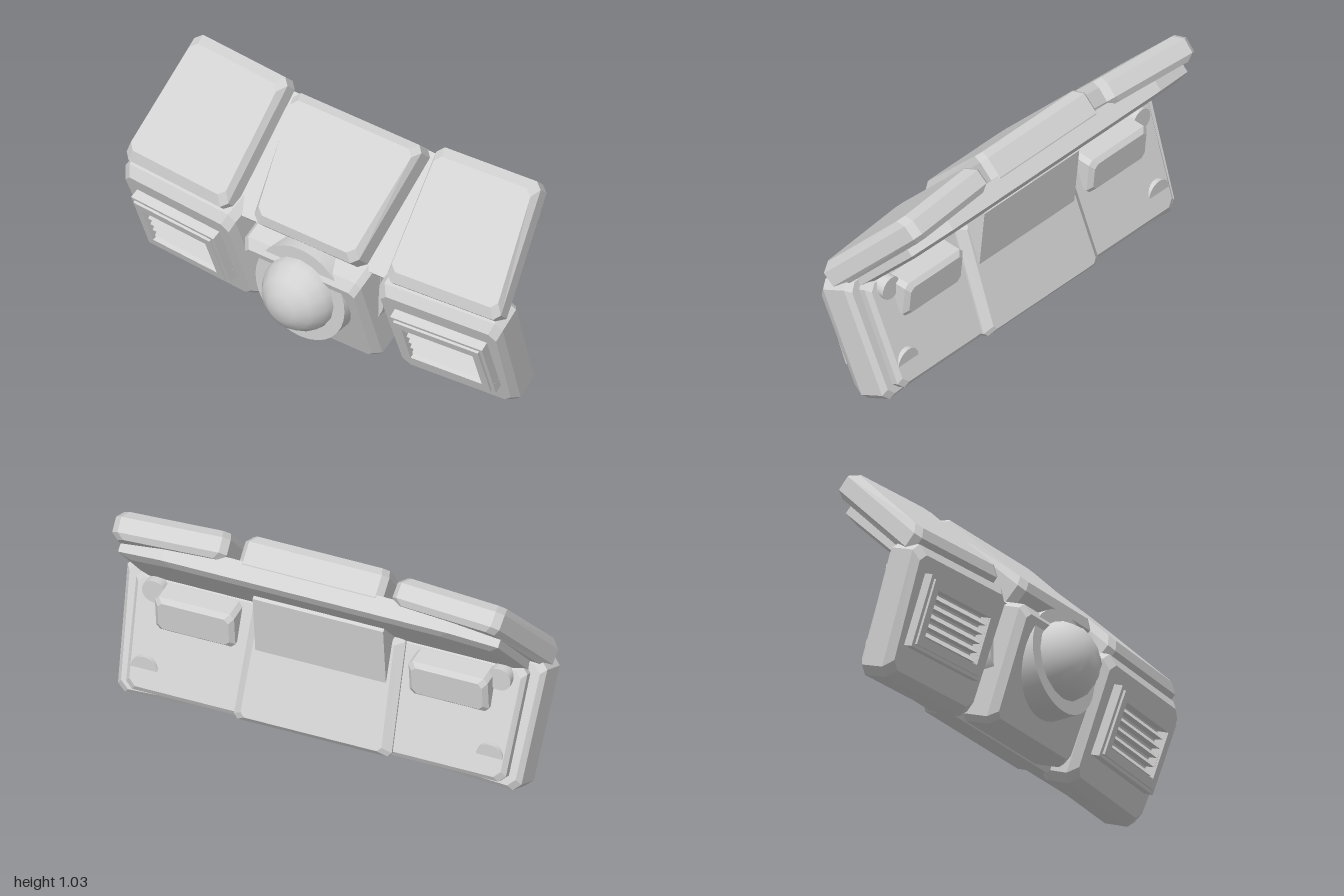
import * as THREE from 'three';

const LID = -Math.PI / 4, BODY = 0.365, YAW = 0.078;
const grey = new THREE.MeshStandardMaterial({ color: 0xd2d2d2 });
grey.name = 'plain grey';

function add(parent, name, geometry, x = 0, y = 0, z = 0) {
  const mesh = new THREE.Mesh(geometry, grey);
  mesh.name = name;
  mesh.position.set(x, y, z);
  parent.add(mesh);
  return mesh;
}

// Four-sided slab with cut corners; layers of [z, insetX, insetY] run from back to front.
function slab(topHalf, bottomHalf, halfHeight, cut, layers, cutX = cut) {
  const [tl, tr] = topHalf, [bl, br] = bottomHalf;
  const corners = [[bl, -halfHeight], [br, -halfHeight], [tr, halfHeight], [tl, halfHeight]]
    .map(c => new THREE.Vector2(...c));
  const outline = [];
  corners.forEach((c, i) => {
    for (const k of [3, 1]) {
      const d = corners[(i + k) % 4].clone().sub(c);
      d.setLength(d.y === 0 ? cutX : cut);
      outline.push(c.clone().add(d));
    }
  });
  const loops = layers.map(([z, ix, iy = ix]) => outline.map(p =>
    [p.x - Math.sign(p.x) * ix, p.y - Math.sign(p.y) * iy, z]));
  const v = [], n = outline.length;
  for (let l = 0; l + 1 < loops.length; l++) {
    const a = loops[l], b = loops[l + 1];
    for (let i = 0; i < n; i++) {
      const j = (i + 1) % n;
      v.push(...a[i], ...a[j], ...b[j], ...a[i], ...b[j], ...b[i]);
    }
  }
  const back = loops[0], front = loops[loops.length - 1];
  for (let i = 1; i + 1 < n; i++) {
    v.push(...back[0], ...back[i + 1], ...back[i], ...front[0], ...front[i], ...front[i + 1]);
  }
  const g = new THREE.BufferGeometry();
  g.setAttribute('position', new THREE.Float32BufferAttribute(v, 3));
  g.computeVertexNormals();
  return g;
}

// Group pitched about x, then turned outward.
function tilted(parent, name, pitch, along, out, x = 0, yaw = 0) {
  const g = new THREE.Group();
  g.name = name;
  g.rotation.set(pitch, yaw, 0, 'YXZ');
  g.position.set(x, along * Math.cos(pitch) - out * Math.sin(pitch),
    along * Math.sin(pitch) + out * Math.cos(pitch));
  parent.add(g);
  return g;
}

// Extent pair from inner to outer, mirrored for side s.
const span = (s, inner, outer) => s > 0 ? [inner, outer] : [-outer, -inner];

function discGeometry(radius, depth, sides = 32) {
  return new THREE.CylinderGeometry(radius, radius, depth, sides).rotateX(Math.PI / 2);
}

function ventFrame() {
  const shape = new THREE.Shape();
  const rect = (path, w, h) => {
    path.moveTo(-w, -h); path.lineTo(w, -h); path.lineTo(w, h); path.lineTo(-w, h); path.closePath();
    return path;
  };
  rect(shape, 0.215, 0.15);
  shape.holes.push(rect(new THREE.Path(), 0.18, 0.108));
  return new THREE.ExtrudeGeometry(shape, { depth: 0.062, bevelEnabled: false });
}

// Wedge with its tip low and its long face turned up and forward
function slatGeometry() {
  const shape = new THREE.Shape([[0, -0.016], [0.04, -0.012], [0, 0.016]].map(p => new THREE.Vector2(...p)));
  return new THREE.ExtrudeGeometry(shape, { depth: 0.36, bevelEnabled: false })
    .translate(0, 0, -0.18).rotateY(-Math.PI / 2);
}

export function createModel() {
  const model = new THREE.Group();
  model.name = 'threePartConsole';

  // Lid: back plate and centre panel
  const lid = tilted(model, 'lid', LID, 0.59, 0.42);
  add(lid, 'lidBackPlate', slab([-0.9, 0.9], [-0.92, 0.92], 0.292, 0.06,
    [[-0.06, 0.05], [-0.045, 0], [0.04, 0]], 0.22));
  add(lid, 'lidCentrePanel', slab([-0.345, 0.345], [-0.275, 0.275], 0.295, 0.03,
    [[0, 0.02], [0.03, 0], [0.13, 0], [0.165, 0.02, 0.035]]));

  // Body: base plate, centre housing
  const body = tilted(model, 'body', BODY, 0.265, -0.2);
  add(body, 'basePlate', slab([-0.93, 0.93], [-0.9, 0.9], 0.265, 0.03,
    [[-0.08, 0.02], [-0.06, 0], [0.04, 0]]));
  add(body, 'centreHousing', slab([-0.31, 0.31], [-0.295, 0.295], 0.275, 0.025,
    [[0, 0], [0.2, 0], [0.24, 0.02, 0.035]]), 0, 0.012);
  add(body, 'centreBack', slab([-0.36, 0.36], [-0.375, 0.375], 0.27, 0.02,
    [[-0.12, 0.04, 0.02], [-0.09, 0], [0.07, 0]]));

  // Neck joining the body to the lid
  const neckShape = new THREE.Shape([[0.18, 0.38], [0.213, 0.7], [0.19, 0.72], [-0.04, 0.56], [-0.04, 0.38]]
    .map(p => new THREE.Vector2(...p)));
  add(model, 'neck', new THREE.ExtrudeGeometry(neckShape, { depth: 0.62, bevelEnabled: false })
    .translate(0, 0, -0.31).rotateY(Math.PI / 2));

  // Ball, collar and the wide rim behind them
  add(model, 'ballCollar', discGeometry(0.237, 0.22), 0, 0.345, 0.1);
  add(model, 'ball', new THREE.SphereGeometry(0.184, 16, 8).rotateX(Math.PI / 2), 0, 0.347, 0.183);
  add(model, 'sideRim', discGeometry(0.33, 0.08), 0, 0.33, 0.01).scale.y = 0.6;

  for (const s of [1, -1]) {
    const side = s > 0 ? 'left' : 'right';

    // Lid side panel
    const wing = tilted(model, side + 'LidPanel', LID, 0.62, 0.485, s * 0.69, s * YAW);
    add(wing, side + 'LidPanelShell', slab(span(s, -0.28, 0.245), span(s, -0.285, 0.292), 0.315, 0.03,
      [[-0.06, 0.025], [-0.035, 0], [0.035, 0], [0.07, 0.018, 0.045]]));

    // Body side panel
    const panel = tilted(model, side + 'BodyPanel', BODY, 0.27, -0.11, s * 0.685, s * YAW);
    add(panel, side + 'BodyPanelShell', slab(span(s, -0.315, 0.312), span(s, -0.3, 0.285), 0.3, 0.035,
      [[-0.1, 0.02], [-0.075, 0], [0.045, 0], [0.085, 0.02, 0.04]]));

    // Vent with slats
    const vent = new THREE.Group();
    vent.name = side + 'Vent';
    vent.position.set(s * 0.003, 0.02, 0.08);
    panel.add(vent);
    for (const t of [1, -1]) {
      add(vent, 'ventBorderBar', new THREE.BoxGeometry(0.465, 0.057, 0.05), 0, t * 0.1365, 0.025);
      add(vent, 'ventBorderPost', new THREE.BoxGeometry(0.0525, 0.216, 0.05), t * 0.206, 0, 0.025);
    }
    add(vent, 'ventFrame', ventFrame());
    for (let i = 0; i < 5; i++) add(vent, 'ventSlat', slatGeometry(), 0, 0.085 - i * 0.0425, 0.005);

    // Rear block and knobs
    add(model, side + 'RearBlock', slab([-0.188, 0.188], [-0.188, 0.188], 0.09, 0.02,
      [[-0.09, 0.02], [-0.07, 0], [0.09, 0]]), s * 0.602, 0.48, -0.1).rotation.x = -0.1;
    add(model, side + 'LowerKnob', discGeometry(0.065, 0.1, 24), s * 0.82, 0.195, -0.174);
    add(model, side + 'UpperKnob', discGeometry(0.055, 0.1, 24), s * 0.82, 0.54, -0.075);
  }
  return model;
}
